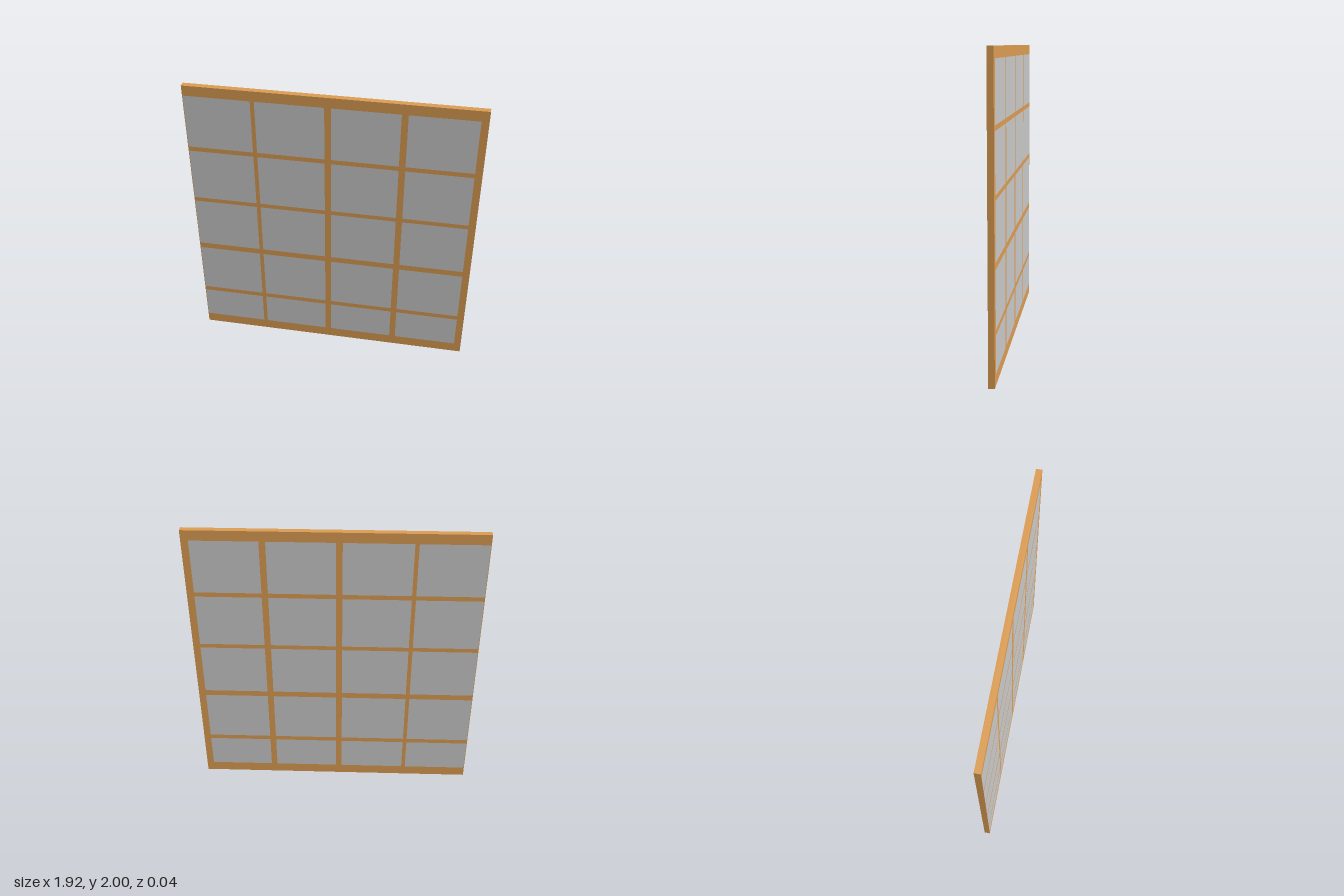
import * as THREE from 'three';

const DEPTH = 0.04, HALF_W = 0.96, HEIGHT = 2;
// Start and end of each opening between the bars
const COLUMNS = [[-0.957, -0.52], [-0.493, -0.047], [-0.005, 0.433], [0.475, 0.912]];
const ROWS = [[0.073, 0.312], [0.345, 0.715], [0.757, 1.123], [1.153, 1.525], [1.557, 1.93]];

function rectangle(target, x0, x1, y0, y1) {
  target.moveTo(x0, y0);
  target.lineTo(x1, y0);
  target.lineTo(x1, y1);
  target.lineTo(x0, y1);
  target.closePath();
  return target;
}

export function createModel() {
  const model = new THREE.Group();
  model.name = 'latticePanel';
  const wood = new THREE.MeshStandardMaterial({ color: 0xde9e53 });
  const grey = new THREE.MeshStandardMaterial({ color: 0xcccccc });

  // Wooden lattice: rails, stile and bars in one piece
  const outline = rectangle(new THREE.Shape(), -HALF_W, HALF_W, 0, HEIGHT);
  const panes = new THREE.Group();
  panes.name = 'panes';

  // Panes sit flush with the lattice on both faces
  for (const [x0, x1] of COLUMNS) {
    for (const [y0, y1] of ROWS) {
      outline.holes.push(rectangle(new THREE.Path(), x0, x1, y0, y1));
      const pane = new THREE.Mesh(new THREE.BoxGeometry(x1 - x0, y1 - y0, DEPTH), grey);
      pane.position.set((x0 + x1) / 2, (y0 + y1) / 2, 0);
      pane.name = 'pane';
      panes.add(pane);
    }
  }

  const lattice = new THREE.Mesh(
    new THREE.ExtrudeGeometry(outline, { depth: DEPTH, bevelEnabled: false }), wood);
  lattice.position.z = -DEPTH / 2;
  lattice.name = 'lattice';

  model.add(lattice, panes);
  return model;
}
